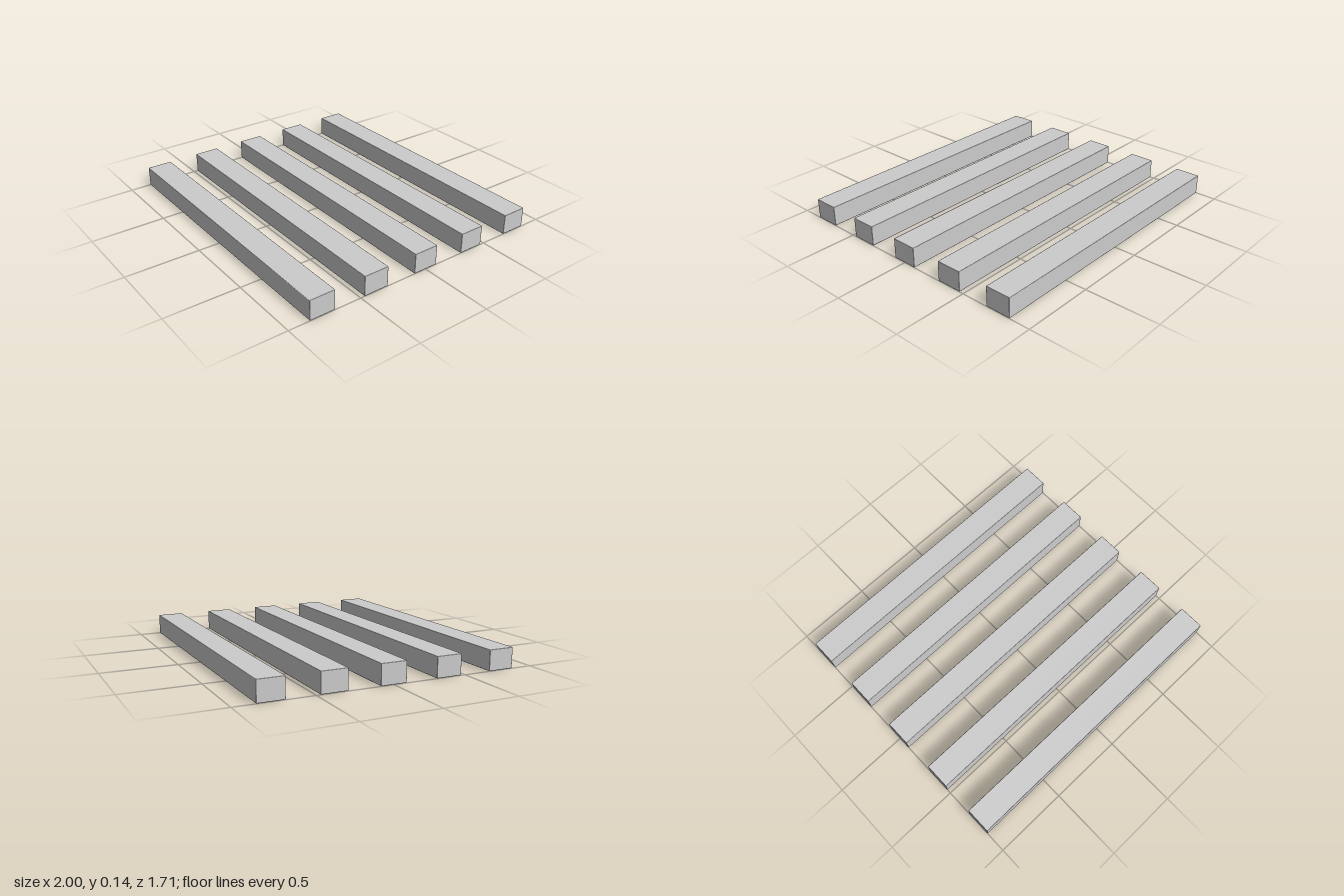
import * as THREE from 'three';
import { RoundedBoxGeometry } from 'three/addons/geometries/RoundedBoxGeometry.js';

const LENGTH = 2, HEIGHT = 0.137, DEPTH = 0.174;
const COUNT = 5, SPACING = 0.385;

export function createModel() {
  const model = new THREE.Group();
  model.name = 'beamRow';
  const material = new THREE.MeshStandardMaterial({ color: 0xcccccc });

  // One beam with slightly eased edges, shared by the whole row
  const geometry = new RoundedBoxGeometry(LENGTH, HEIGHT, DEPTH, 1, 0.004);

  // Parallel beams, evenly spaced from back to front
  for (let i = 0; i < COUNT; i++) {
    const beam = new THREE.Mesh(geometry, material);
    beam.name = `beam${i + 1}`;
    beam.position.set(0, HEIGHT / 2, (i - (COUNT - 1) / 2) * SPACING);
    model.add(beam);
  }
  return model;
}
